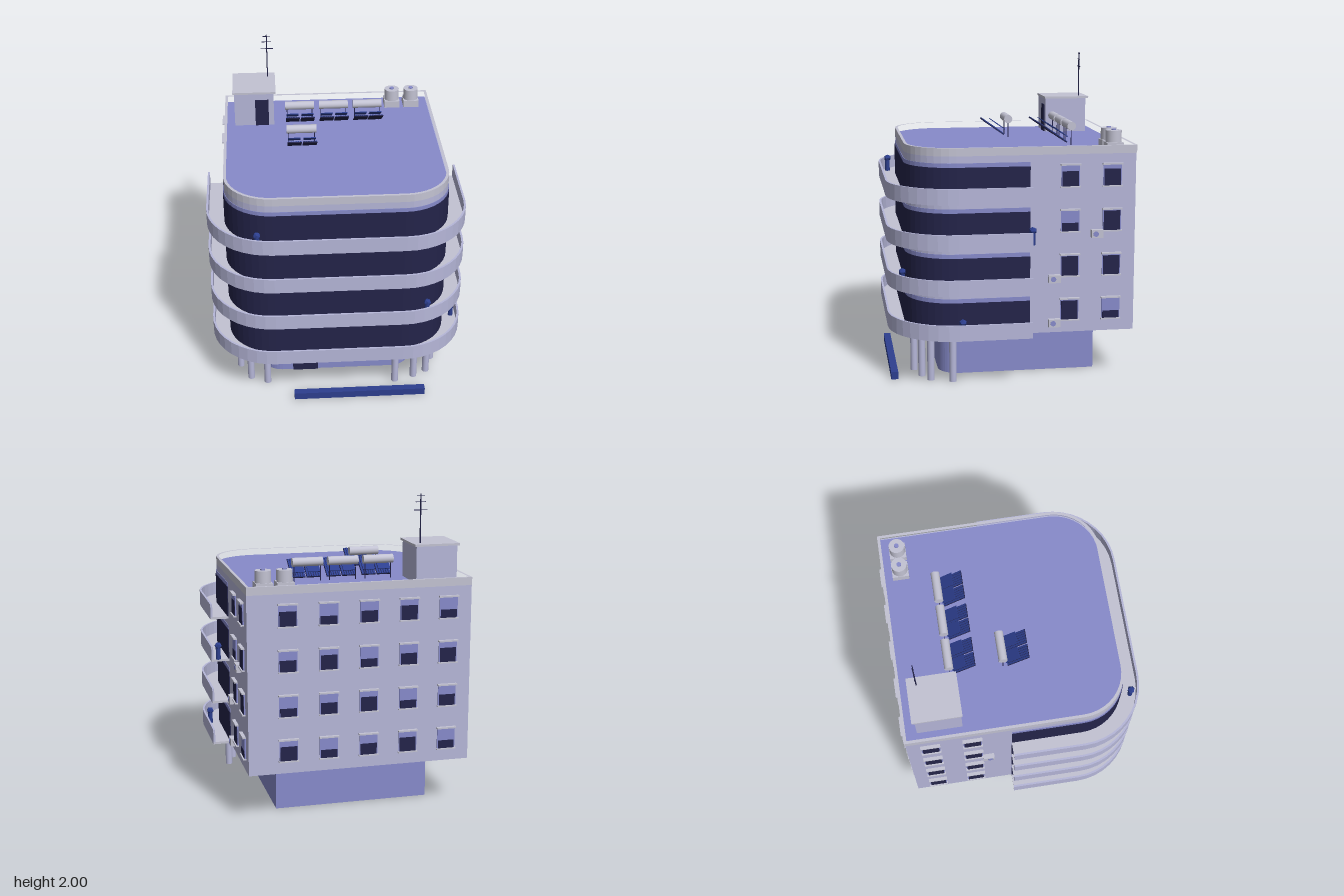
import * as THREE from 'three';

const mat = (name, color, side = THREE.FrontSide) => {
  const m = new THREE.MeshStandardMaterial({ color, side });
  m.name = name;
  return m;
};

export function createModel() {
  const root = new THREE.Group();
  root.name = 'apartmentBuilding';
  const wall = mat('lavenderWall', 0xb6b7d9);
  const trim = mat('paleGrey', 0xc3c3d3);
  const blue = mat('periwinkle', 0x878bcb);
  const dark = mat('darkGlass', 0x24244a);
  const navy = mat('navy', 0x2d3f8f);

  const add = (name, geo, m, x = 0, y = 0, z = 0, parent = root) => {
    const mesh = new THREE.Mesh(geo, m);
    mesh.name = name;
    mesh.position.set(x, y, z);
    parent.add(mesh);
    return mesh;
  };
  const box = (name, m, w, h, d, x, y, z, parent) =>
    add(name, new THREE.BoxGeometry(w, h, d), m, x, y, z, parent);
  const cyl = (name, m, r, h, x, y, z, parent, n = 14) =>
    add(name, new THREE.CylinderGeometry(r, r, h, n), m, x, y, z, parent);

  // Plan curve: straight sides with two rounded front corners
  const plan = (hw, back, front, r) => {
    const pts = [new THREE.Vector2(hw, -back)];
    for (const [cx, start] of [[hw - r, 0], [r - hw, Math.PI / 2]]) {
      for (let i = 0; i <= 10; i++) {
        const a = start + (i / 10) * Math.PI / 2;
        pts.push(new THREE.Vector2(cx + r * Math.cos(a), -(front - r + r * Math.sin(a))));
      }
    }
    pts.push(new THREE.Vector2(-hw, -back));
    return pts;
  };
  const offsetPlan = (o, back) => plan(0.71 + o, back, 0.66 + o, 0.3 + o);
  const rise = (name, shape, m, y0, y1) => {
    const g = new THREE.ExtrudeGeometry(shape, { depth: y1 - y0, bevelEnabled: false });
    g.rotateX(-Math.PI / 2);
    return add(name, g, m, 0, y0, 0);
  };
  // U-shaped band that wraps the front and ends part way down the sides
  const band = (name, m, outer, inner, y0, y1, end = -0.095) =>
    rise(name, new THREE.Shape([...offsetPlan(outer, end), ...offsetPlan(inner, end).reverse()]), m, y0, y1);

  // Main block, roof and parapet
  rise('mainBlock', new THREE.Shape(offsetPlan(0, -0.76)), wall, 0.31, 1.44);
  rise('roofDeck', new THREE.Shape(offsetPlan(-0.01, -0.75)), blue, 1.44, 1.447);
  const rim = new THREE.Shape(offsetPlan(0, -0.765));
  rim.holes.push(new THREE.Path(offsetPlan(-0.018, -0.747)));
  rise('parapet', rim, trim, 1.44, 1.49);

  // Ground floor core, door, columns and planter
  rise('groundCore', new THREE.Shape(plan(0.5, -0.55, 0.455, 0.13)), blue, 0, 0.31);
  box('entranceDoor', dark, 0.17, 0.24, 0.009, -0.215, 0.12, 0.459);
  for (const [x, z] of [[0.38, 0.61], [0.51, 0.57], [0.6, 0.52], [0.65, 0.385],
    [-0.475, 0.57], [-0.585, 0.52], [-0.655, 0.385], [-0.655, 0.02]]) {
    cyl('column', wall, 0.023, 0.31, x, 0.155, z);
  }
  box('planter', navy, 0.865, 0.048, 0.045, 0.132, 0.024, 0.747);

  // Four storeys: balcony slab, balustrade, glazing and blind strip
  const step = 0.283;
  for (let k = 0; k < 4; k++) {
    const y = 0.31 + k * step;
    band('balconyFloor', trim, 0.117, -0.02, y, y + 0.015);
    band('balustrade', wall, 0.118, 0.105, y, y + 0.1);
    band('glazing', dark, 0.006, -0.01, y + 0.015, y + 0.212);
    band('blindStrip', blue, 0.003, -0.01, y + 0.212, y + 0.238);
  }

  // Window: blind behind, dark pane over its lower part, hood and sill
  const windowAt = (x, y, z, turn, open) => {
    const g = new THREE.Group();
    g.name = 'window';
    g.position.set(x, y, z);
    g.rotation.y = turn;
    root.add(g);
    box('blind', blue, 0.116, 0.135, 0.008, 0, 0, 0.004, g);
    const h = 0.13 * open;
    box('pane', dark, 0.104, h, 0.004, 0, -0.065 + h / 2, 0.009, g);
    box('hood', trim, 0.126, 0.01, 0.022, 0, 0.07, 0.011, g);
    box('sill', trim, 0.126, 0.008, 0.02, 0, -0.069, 0.01, g);
  };
  const sideOpen = [[0.93, 0.36], [0.95, 0.93], [0.4, 0.95], [0.72, 0.8]];
  for (let k = 0; k < 4; k++) {
    const y = 0.458 + k * step;
    [-0.345, -0.61].forEach((z, i) => {
      windowAt(0.71, y, z, Math.PI / 2, sideOpen[k][i]);
      windowAt(-0.71, y, z, -Math.PI / 2, i ? 0.95 : 0.8);
    });
    for (let i = 0; i < 5; i++) {
      windowAt(-0.56 + i * 0.255, y, -0.76, Math.PI, 0.4 + 0.15 * ((i * 2 + k) % 3));
    }
  }

  // Air conditioners on the side walls
  for (const [s, y, z] of [[1, 0.94, -0.515], [1, 0.66, -0.248], [1, 0.375, -0.248], [-1, 0.94, -0.25]]) {
    box('airConditioner', trim, 0.034, 0.05, 0.075, s * 0.725, y, z);
    const fan = cyl('fan', blue, 0.017, 0.004, s * 0.743, y, z + 0.01);
    fan.rotation.z = Math.PI / 2;
  }

  // Potted plants on the balconies
  for (const [x, y, z] of [[-0.51, 1.265, 0.712], [0.783, 0.982, -0.098], [0.565, 0.7, 0.69], [0.783, 0.415, 0.335]]) {
    cyl('plantPot', navy, 0.016, 0.09, x, y - 0.045, z, root, 8);
    add('plant', new THREE.IcosahedronGeometry(0.025, 0), navy, x, y, z);
  }

  // Stair hut with antenna
  box('stairHut', wall, 0.265, 0.24, 0.285, -0.507, 1.56, -0.535);
  box('hutRoof', trim, 0.29, 0.014, 0.31, -0.505, 1.687, -0.54);
  box('hutDoor', dark, 0.09, 0.19, 0.008, -0.455, 1.54, -0.39);
  cyl('antennaMast', dark, 0.004, 0.31, -0.41, 1.845, -0.635, root, 6);
  for (const [y, w] of [[1.9, 0.085], [1.95, 0.065], [1.99, 0.05]]) {
    box('antennaBar', dark, w, 0.004, 0.004, -0.41, y, -0.635);
  }

  // Water tanks
  for (const x of [0.452, 0.585]) {
    box('tankBase', trim, 0.106, 0.05, 0.106, x, 1.47, -0.645);
    cyl('waterTank', trim, 0.05, 0.075, x, 1.532, -0.645, root, 24);
    cyl('tankLid', blue, 0.015, 0.008, x, 1.573, -0.645);
  }

  // Solar heaters: tank on posts with two tilted collectors
  for (const [x, z] of [[-0.2, -0.425], [0.03, -0.425], [0.26, -0.425], [-0.2, -0.085]]) {
    const g = new THREE.Group();
    g.name = 'solarHeater';
    g.position.set(x, 1.447, z);
    root.add(g);
    cyl('heaterTank', trim, 0.028, 0.195, 0, 0.123, 0, g, 18).rotation.z = Math.PI / 2;
    for (const s of [-1, 1]) {
      box('post', dark, 0.005, 0.12, 0.005, s * 0.085, 0.06, 0, g);
      const panel = new THREE.Group();
      panel.name = 'collector';
      panel.position.set(s * 0.05, 0.066, 0.098);
      panel.rotation.x = -0.61;
      g.add(panel);
      box('plate', dark, 0.092, 0.006, 0.165, 0, 0, 0, panel);
      for (let i = 0; i < 6; i++) {
        box('tube', navy, 0.011, 0.005, 0.163, -0.038 + i * 0.0152, 0.005, 0, panel);
      }
      box('upperFrame', navy, 0.08, 0.005, 0.1, 0, 0.034, -0.02, panel);
    }
  }
  return root;
}
